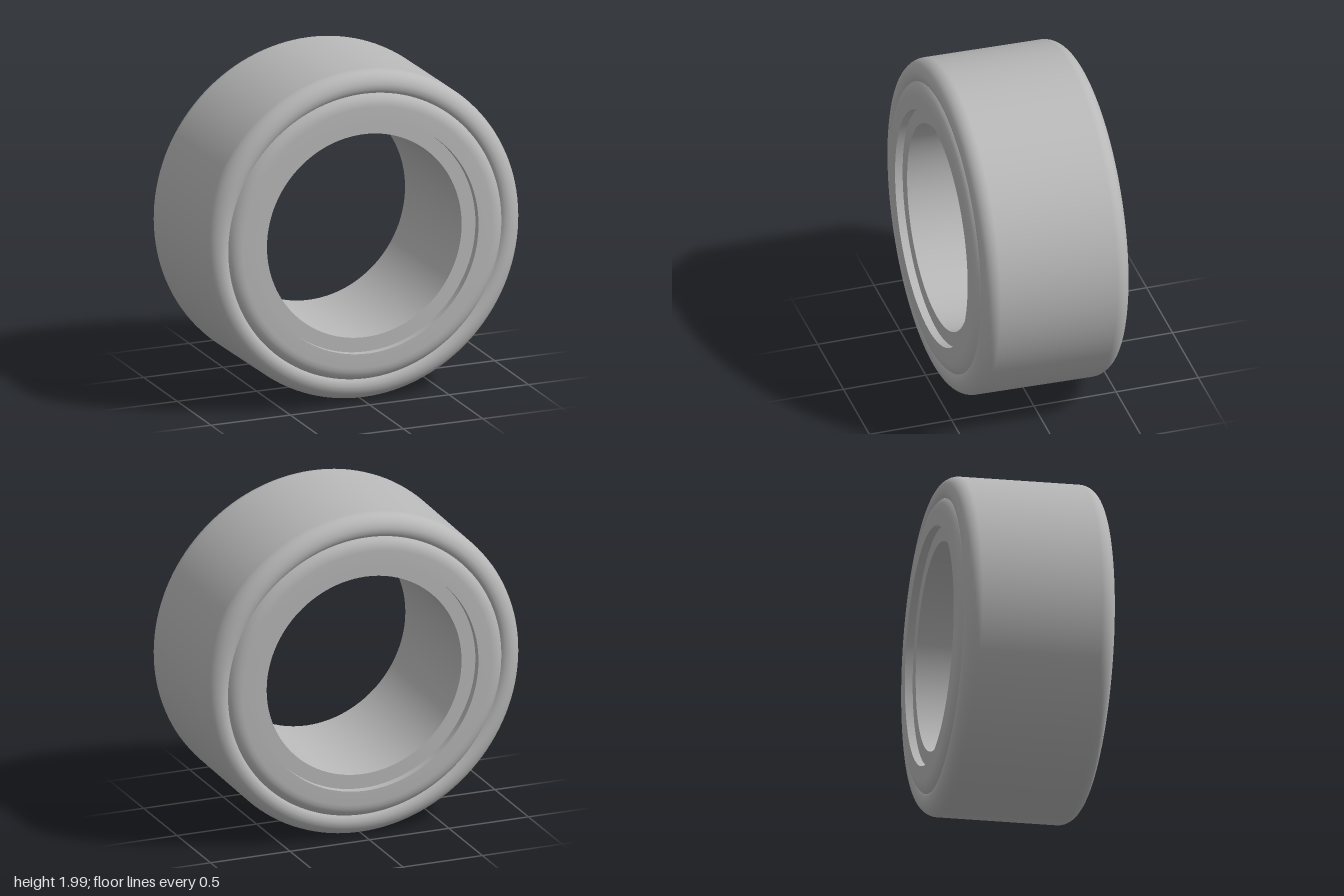
import * as THREE from 'three';

const SEGMENTS = 128;

export function createModel() {
  const model = new THREE.Group();
  const grey = new THREE.MeshStandardMaterial({ color: 0xb8b8b8 });
  grey.name = 'plain grey';

  // Ring turned round the z axis, leaning back very slightly
  const ring = new THREE.Group();
  ring.name = 'ring';
  ring.rotation.x = Math.PI / 2 - 0.021;
  ring.position.y = 1;
  model.add(ring);

  // Each profile is [radius, offset along the axis], outer side running upwards
  const turn = (name, profile, parent = ring) => {
    const points = profile.map(([r, h]) => new THREE.Vector2(r, h));
    const mesh = new THREE.Mesh(new THREE.LatheGeometry(points, SEGMENTS), grey);
    mesh.name = name;
    parent.add(mesh);
  };

  // Rounded shoulder, rolling over into a shallow groove beside the lip
  const shoulder = [];
  for (let i = 0; i <= 10; i++) {
    const a = (i / 10) * Math.PI / 2;
    shoulder.push([0.9 + 0.09 * Math.cos(a), 0.355 + 0.09 * Math.sin(a)]);
  }
  shoulder.push([0.883, 0.442], [0.87, 0.436], [0.86, 0.428]);
  const mirrored = shoulder.map(([r, h]) => [r, -h]).reverse();
  turn('outerBand', [...mirrored, ...shoulder]);

  // Raised lip, recess wall and recess floor, the same on both faces
  for (const side of ['front', 'back']) {
    const face = new THREE.Group();
    face.name = side + 'Face';
    if (side === 'back') face.rotation.x = Math.PI;
    turn(side + 'Lip', [[0.86, 0.428], [0.848, 0.442], [0.83, 0.454], [0.81, 0.461], [0.785, 0.465], [0.7, 0.466]], face);
    turn(side + 'RecessWall', [[0.7, 0.466], [0.7, 0.42]], face);
    turn(side + 'RecessFloor', [[0.7, 0.42], [0.613, 0.42]], face);
    ring.add(face);
  }

  // Open bore
  turn('bore', [[0.613, 0.42], [0.613, -0.42]]);

  return model;
}
